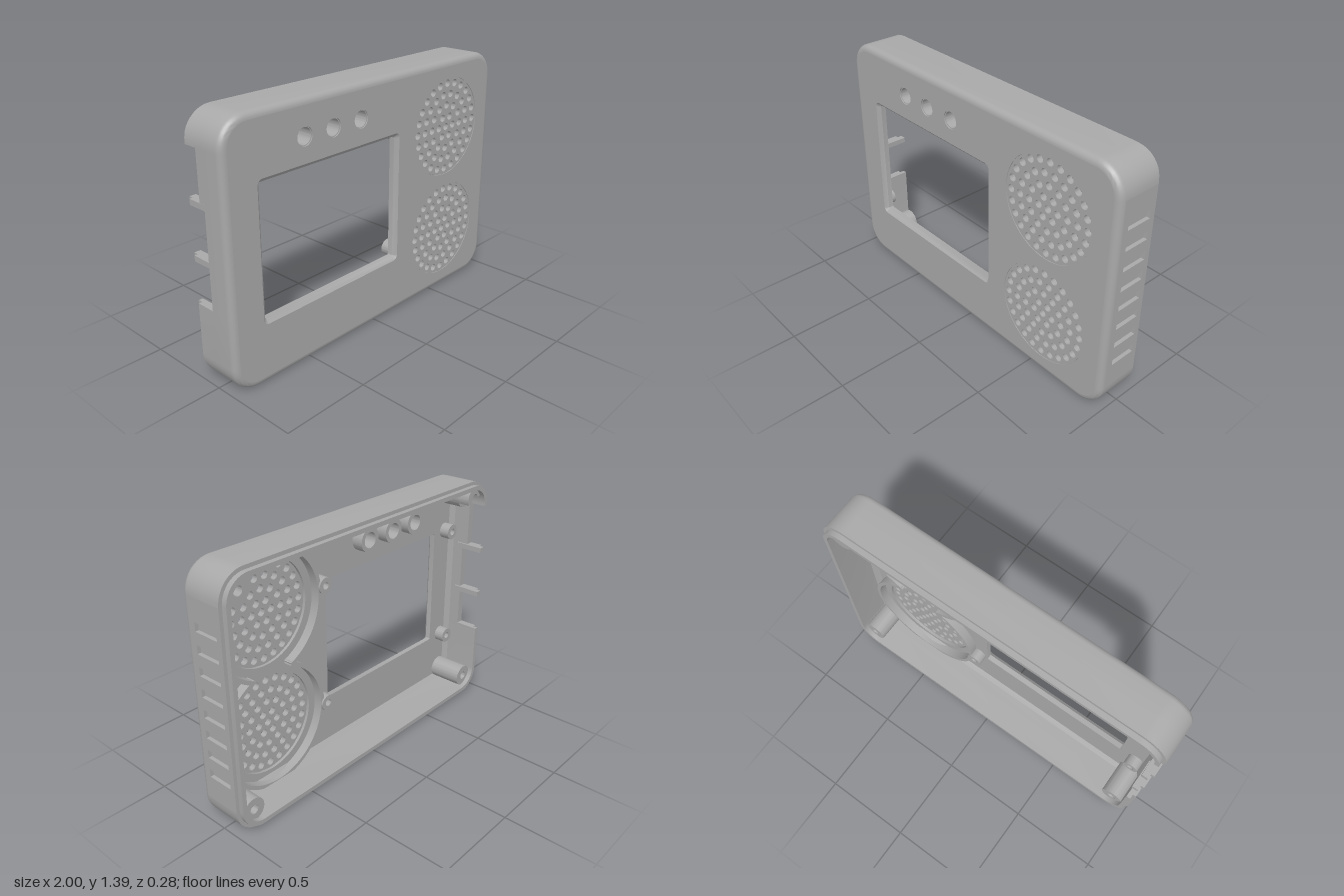
import * as THREE from 'three';
import { toCreasedNormals } from 'three/addons/utils/BufferGeometryUtils.js';

const H = 1.39;
const FLOOR = 0.09, FRONT = 0.14, RIM = -0.11, LIP = -0.138; // z levels

export function createModel() {
  const model = new THREE.Group();
  const grey = new THREE.MeshStandardMaterial({ color: 0xa8a8a8 });
  grey.name = 'grey plastic';

  const add = (name, geometry) => {
    const mesh = new THREE.Mesh(geometry, grey);
    mesh.name = name;
    model.add(mesh);
    return mesh;
  };
  const box = (name, x0, x1, y0, y1, z0, z1) => {
    const g = new THREE.BoxGeometry(x1 - x0, y1 - y0, z1 - z0);
    add(name, g.translate((x0 + x1) / 2, (y0 + y1) / 2, (z0 + z1) / 2));
  };
  const extrude = (shape, z0, z1, curveSegments = 24) => toCreasedNormals(
    new THREE.ExtrudeGeometry(shape, { depth: z1 - z0, bevelEnabled: false, curveSegments })
      .translate(0, 0, z0), 0.6);
  const circle = (x, y, r) => new THREE.Path().absarc(x, y, r, 0, Math.PI * 2, true);
  const disc = (x, y, r) => new THREE.Shape().absarc(x, y, r, 0, Math.PI * 2, false);

  // Rounded rectangle outline, anticlockwise, with optional breaks on its -x side
  const outline = ({ x0, x1, y0, y1, r, breaks = [] }, inset) => {
    const pts = [], n = 10, rr = Math.max(r - inset, 0.004), k = inset + rr;
    [[x1 - k, y1 - k], [x0 + k, y1 - k], [x0 + k, y0 + k], [x1 - k, y0 + k]].forEach(([cx, cy], c) => {
      for (let i = 0; i <= n; i++) {
        const a = (c + i / n) * Math.PI / 2;
        pts.push(new THREE.Vector2(cx + rr * Math.cos(a), cy + rr * Math.sin(a)));
      }
      if (c === 1) breaks.forEach((y) => pts.push(new THREE.Vector2(x0 + inset, y)));
    });
    return pts;
  };
  // Sweeps an [inset, z] profile around a rounded rectangle
  const sweep = (rect, profile, skip = () => false) => {
    const rows = profile.map(([d]) => outline(rect, d));
    const n = rows[0].length, pos = [], idx = [];
    rows.forEach((row, j) => row.forEach((p) => pos.push(p.x, p.y, profile[j][1])));
    for (let j = 0; j < rows.length - 1; j++) {
      for (let i = 0; i < n; i++) {
        if (skip(i, j, n)) continue;
        const i2 = (i + 1) % n;
        const a = j * n + i, b = a + n, c = (j + 1) * n + i2, d = j * n + i2;
        idx.push(a, b, c, a, c, d);
      }
    }
    const g = new THREE.BufferGeometry();
    g.setAttribute('position', new THREE.Float32BufferAttribute(pos, 3));
    g.setIndex(idx);
    return toCreasedNormals(g, 0.6);
  };

  // Shell walls: front fillet, outer face, stepped lip, inner face, inner chamfer
  const notchTop = 1.23, notchBottom = 0.43;
  const body = { x0: -1, x1: 1, y0: 0, y1: H, r: 0.15, breaks: [notchTop, notchBottom] };
  const profile = [];
  for (let i = 0; i <= 6; i++) {
    const a = i / 6 * Math.PI / 2;
    profile.push([0.035 * (1 - Math.sin(a)), FRONT - 0.035 * (1 - Math.cos(a))]);
  }
  profile.push([0, 0], [0, RIM], [0.02, RIM], [0.02, LIP], [0.045, LIP], [0.045, 0],
    [0.045, 0.065], [0.07, FLOOR]);
  add('shell walls', sweep(body, profile, (i, j, n) => {
    const [p, q] = [profile[j], profile[j + 1]];
    const ventFace = i === n - 1 && p[0] < 1e-6 && q[0] < 1e-6;
    const notch = i === 22 && p[1] <= 0.001 && q[1] <= 0.001;
    return ventFace || notch;
  }));

  // Side wall with a column of blind vent slots
  const ventShape = new THREE.Shape([[-0.105, 0.15], [0.11, 0.15], [0.11, 1.24], [-0.105, 1.24]]
    .map((p) => new THREE.Vector2(...p)));
  for (let i = 0; i < 8; i++) {
    const y = 0.305 + i * 0.113, h = 0.023;
    ventShape.holes.push(new THREE.Path([[-0.07, y - h], [-0.07, y + h], [0.08, y + h], [0.08, y - h]]
      .map((p) => new THREE.Vector2(...p))));
  }
  add('vent wall', extrude(ventShape, 0.98, 1).rotateY(Math.PI / 2));
  box('vent backing', 0.957, 0.98, 0.2, 1.2, -0.1, 0.09);

  // Connector notches in the opposite wall, divided by prongs
  box('notch sill', -0.999, -0.956, notchBottom, notchTop, -0.001, 0.004);
  box('shallow notch sill', -0.999, -0.956, 0.96, notchTop, -0.001 - 0.034, 0);
  [0.955, 0.67].forEach((y) => {
    box('notch prong', -1, -0.945, y - 0.015, y + 0.015, RIM, 0.03);
    box('notch prong lip', -0.98, -0.945, y - 0.015, y + 0.015, LIP, RIM);
  });
  [notchBottom - 0.004, notchTop].forEach((y) => {
    box('notch end', -0.999, -0.956, y, y + 0.004, RIM + 0.001, 0);
    box('notch end lip', -0.979, -0.956, y, y + 0.004, LIP + 0.001, RIM + 0.002);
  });

  // Front panel with its openings
  const windowRect = { x0: -0.807, x1: 0.173, y0: 0.323, y1: 1.07, r: 0.03 };
  const speakers = [[0.585, 1.01], [0.585, 0.38]];
  const lights = [-0.51, -0.32, -0.125];
  const panel = new THREE.Shape(outline(body, 0.035));
  panel.holes.push(new THREE.Path(outline(windowRect, 0).reverse()));
  speakers.forEach(([x, y]) => panel.holes.push(circle(x, y, 0.285)));
  lights.forEach((x) => panel.holes.push(circle(x, 1.205, 0.049)));
  add('front panel', extrude(panel, FLOOR, FRONT, 32));
  add('window bevel', sweep(windowRect, [[0, FLOOR], [0.021, FLOOR], [0.021, 0.12], [0, FRONT]]));

  // Speaker grilles: concentric rings of holes, with a retaining wall behind
  speakers.forEach(([x, y], s) => {
    const grille = disc(x, y, 0.287);
    for (let ring = 0; ring <= 4; ring++) {
      const count = ring ? ring * 6 : 1;
      for (let i = 0; i < count; i++) {
        const a = i / count * Math.PI * 2;
        grille.holes.push(circle(x + ring * 0.0627 * Math.cos(a), y + ring * 0.0627 * Math.sin(a), 0.021));
      }
    }
    add('speaker grille', extrude(grille, 0.105, 0.137, 10));

    // The two walls are open where they meet
    const mid = s === 0 ? -Math.PI / 2 : Math.PI / 2, gap = 0.37;
    const wall = new THREE.Shape();
    wall.absarc(x, y, 0.352, mid + gap, mid + Math.PI * 2 - gap, false);
    wall.absarc(x, y, 0.33, mid + Math.PI * 2 - gap, mid + gap, true);
    wall.closePath();
    add('speaker wall', extrude(wall, 0.04, 0.1, 40));
  });

  // Hollow posts
  const post = (name, x, y, outer, inner, z0, z1) => {
    const shape = disc(x, y, outer);
    shape.holes.push(circle(x, y, inner));
    add(name, extrude(shape, z0, z1));
  };
  lights.forEach((x) => post('light tube', x, 1.205, 0.068, 0.044, 0.025, 0.134));
  [0.21, -0.885].forEach((x) => [0.355, 1.05].forEach((y) =>
    post('display post', x, y, 0.045, 0.02, 0.03, FLOOR + 0.01)));
  [[0.89, 0.11], [0.89, 1.285], [-0.89, 0.11]].forEach(([x, y]) =>
    post('corner post', x, y, 0.065, 0.025, RIM, FLOOR + 0.01));

  // Corner post beside the notches, cut open at its rear
  post('notched corner post', -0.89, 1.285, 0.065, 0.025, -0.04, FLOOR + 0.01);
  const cut = new THREE.Shape();
  cut.absarc(-0.89, 1.285, 0.065, -0.5, Math.PI * 0.95, false);
  cut.absarc(-0.89, 1.285, 0.025, Math.PI * 0.95, -0.5, true);
  cut.closePath();
  add('notched corner post end', extrude(cut, RIM, -0.04));

  return model;
}
